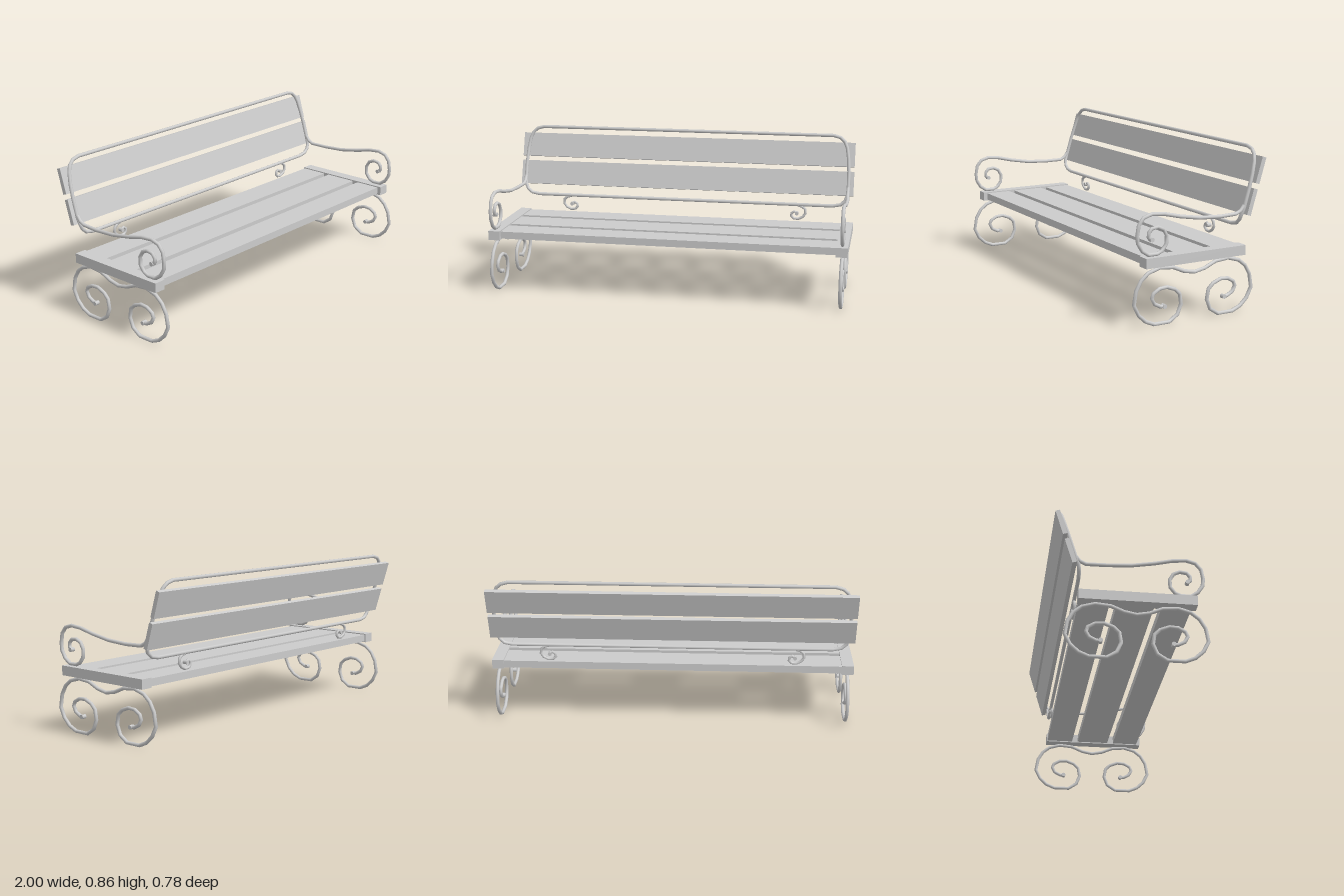
import * as THREE from 'three';

const material = new THREE.MeshStandardMaterial({ color: 0xcccccc });
const R = 0.01; // iron bar radius

// Polyline sampled exactly at its corners, with mitred tangents
class BarPath extends THREE.Curve {
  constructor(points, closed) {
    super();
    this.p = points;
    this.closed = closed;
    this.n = closed ? points.length : points.length - 1;
  }
  at(i) {
    const m = this.p.length;
    return this.closed ? this.p[((i % m) + m) % m] : this.p[Math.min(Math.max(i, 0), m - 1)];
  }
  getPoint(t) {
    const s = t * this.n, i = Math.floor(s + 1e-6);
    return this.at(i).clone().lerp(this.at(i + 1), Math.max(0, s - i));
  }
  getPointAt(t) { return this.getPoint(t); }
  getTangentAt(t) {
    const i = Math.round(t * this.n), c = this.at(i);
    const before = c.clone().sub(this.at(i - 1)).normalize();
    return this.at(i + 1).clone().sub(c).normalize().add(before).normalize();
  }
}

function mesh(name, geometry, parent, x = 0, y = 0, z = 0) {
  const m = new THREE.Mesh(geometry, material);
  m.name = name;
  m.position.set(x, y, z);
  parent.add(m);
  return m;
}

function bar(name, points, parent, closed = false, radius = R) {
  const path = new BarPath(points, closed);
  return mesh(name, new THREE.TubeGeometry(path, path.n, radius, 8, closed), parent);
}

// Thickened end of a scroll; its axis is x, or z when turned
function knob(name, p, parent, radius, alongZ = false) {
  const g = new THREE.CylinderGeometry(radius, radius, 0.026, 8);
  if (alongZ) g.rotateX(Math.PI / 2); else g.rotateZ(Math.PI / 2);
  mesh(name, g, parent, p.x, p.y, p.z);
}

// Half of the leg scroll as [z, y], from the inner end to the middle dip
const LEG = [[0.205, 0.097], [0.225, 0.097], [0.26, 0.115], [0.276, 0.145], [0.266, 0.17],
  [0.23, 0.19], [0.187, 0.193], [0.14, 0.175], [0.112, 0.148], [0.103, 0.095], [0.124, 0.043],
  [0.173, 0.011], [0.261, 0.011], [0.311, 0.032], [0.352, 0.07], [0.379, 0.124], [0.367, 0.195],
  [0.338, 0.245], [0.297, 0.278], [0.232, 0.297], [0.153, 0.29], [0.087, 0.262], [0.025, 0.25]];
const LEG_MID = 0.025;

// Armrest as [z, y], from the scroll end to the back frame
const ARM = [[0.282, 0.446], [0.298, 0.458], [0.297, 0.48], [0.28, 0.5], [0.245, 0.505],
  [0.212, 0.49], [0.193, 0.457], [0.195, 0.414], [0.22, 0.382], [0.248, 0.37], [0.297, 0.37],
  [0.334, 0.394], [0.359, 0.434], [0.363, 0.473], [0.354, 0.525], [0.327, 0.559], [0.28, 0.573],
  [0.21, 0.567], [0.117, 0.545], [0, 0.525], [-0.125, 0.518], [-0.227, 0.52], [-0.257, 0.534],
  [-0.277, 0.56]];

// Right half of the back frame as [x, y, z], bottom to top
const FRAME = [[0.88, 0.454, -0.26], [0.925, 0.463, -0.26], [0.95, 0.485, -0.26],
  [0.962, 0.515, -0.264], [0.966, 0.55, -0.277], [0.965, 0.65, -0.307], [0.96, 0.72, -0.328],
  [0.95, 0.78, -0.345], [0.935, 0.815, -0.354], [0.91, 0.838, -0.358], [0.87, 0.849, -0.358]];

// Small scroll under the back frame as [x, y]
const CURL = [[0.675, 0.402], [0.66, 0.412], [0.645, 0.402], [0.643, 0.385], [0.658, 0.371],
  [0.684, 0.369], [0.71, 0.382], [0.725, 0.403], [0.722, 0.428], [0.705, 0.443], [0.68, 0.45]];

export function createModel() {
  const bench = new THREE.Group();
  bench.name = 'bench';

  // Seat slats: [centre z, width]
  for (const [z, w] of [[-0.184, 0.155], [0.024, 0.188], [0.23, 0.15]]) {
    mesh('seatSlat', new THREE.BoxGeometry(1.9, 0.04, w), bench, 0, 0.334, z);
  }

  // Tilted backrest slats: [centre y, centre z]
  for (const [y, z] of [[0.5775, -0.3066], [0.738, -0.356]]) {
    mesh('backSlat', new THREE.BoxGeometry(1.99, 0.14, 0.024), bench, 0, y, z).rotation.x = -0.294;
  }

  // Rounded loop carrying the backrest
  const half = FRAME.map((p) => new THREE.Vector3(...p));
  const mirrored = half.map((p) => new THREE.Vector3(-p.x, p.y, p.z)).reverse();
  bar('backFrame', [...half, ...mirrored], bench, true);

  for (const s of [1, -1]) {
    const side = new THREE.Group();
    side.name = s > 0 ? 'leftSide' : 'rightSide';
    bench.add(side);

    mesh('seatEndBeam', new THREE.BoxGeometry(0.065, 0.052, 0.594), side, s * 0.9675, 0.334, 0.03);

    // Leg: front scroll and its mirror image in one bar
    const x = s * 0.969;
    const front = LEG.map(([z, y]) => new THREE.Vector3(x, y, z));
    const back = front.slice(0, -1).map((p) => new THREE.Vector3(x, p.y, 2 * LEG_MID - p.z)).reverse();
    const leg = [...front, ...back];
    bar('legScroll', leg, side);
    knob('legScrollEnd', leg[0], side, 0.012);
    knob('legScrollEnd', leg[leg.length - 1], side, 0.012);

    // Armrest, leaning slightly inwards at the back
    const arm = ARM.map(([z, y]) => new THREE.Vector3(s * (z < -0.2 ? 0.965 : 0.97), y, z));
    bar('armrest', arm, side);
    knob('armrestEnd', arm[0], side, 0.012);

    // Small curl hanging below the back frame
    const curl = CURL.map(([cx, cy]) => new THREE.Vector3(s * cx, cy, -0.26));
    bar('backCurl', curl, side, false, 0.008);
    knob('backCurlEnd', curl[0], side, 0.011, true);
  }
  return bench;
}
